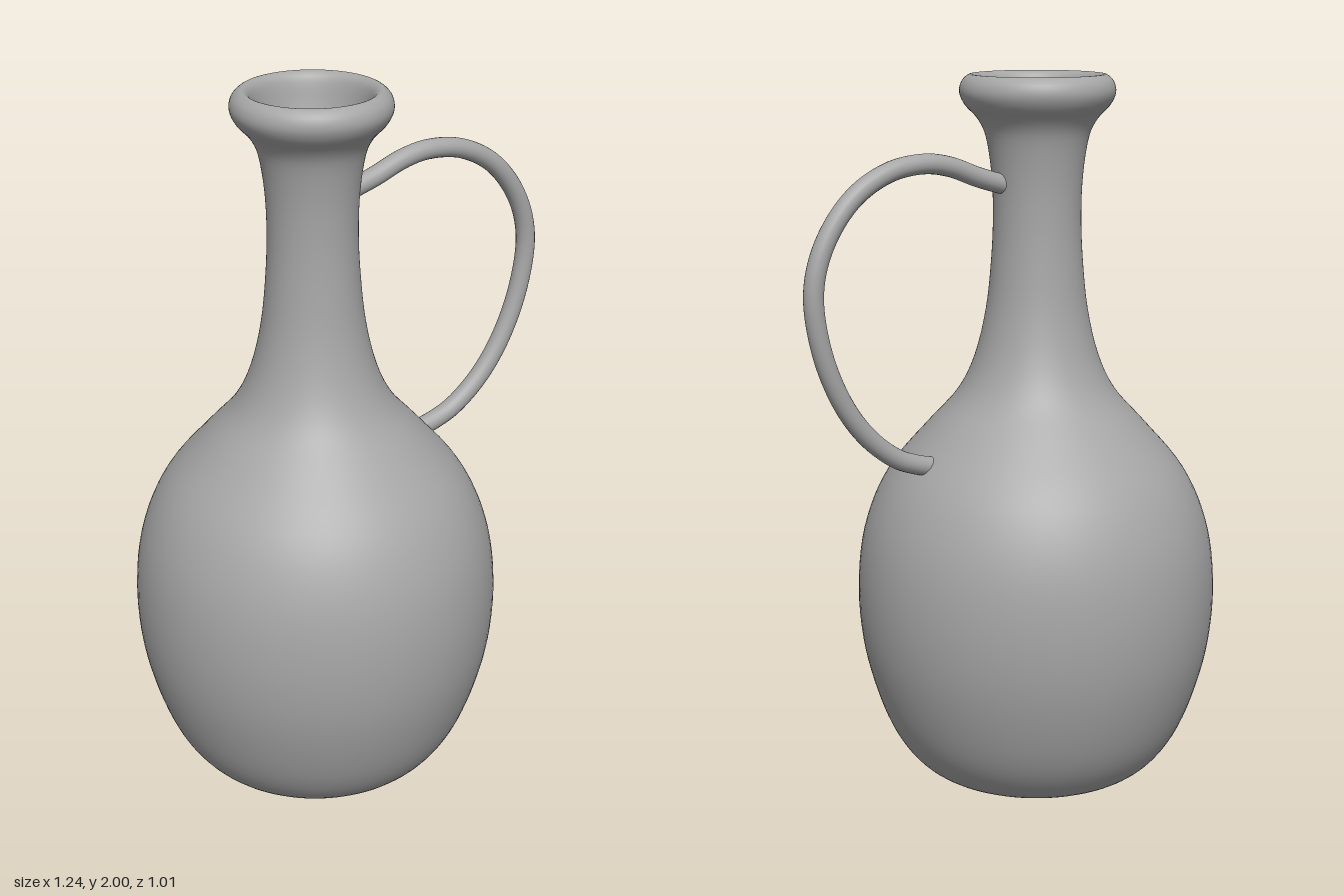
import * as THREE from 'three';

const AXIS_X = -0.115;

// Smooth list of lathe points through a few [radius, height] pairs
function smoothProfile(pairs, count) {
  const curve = new THREE.SplineCurve(pairs.map(([r, y]) => new THREE.Vector2(r, y)));
  return curve.getPoints(count);
}

export function createModel() {
  const model = new THREE.Group();
  model.name = 'jug';
  const clay = new THREE.MeshStandardMaterial({ color: 0xa6a6a6 });
  clay.name = 'grey clay';

  const add = (name, geometry, x = 0, y = 0) => {
    const mesh = new THREE.Mesh(geometry, clay);
    mesh.name = name;
    mesh.position.set(x, y, 0);
    model.add(mesh);
    return mesh;
  };

  // Outer wall, rolled rim and hollow inside in one continuous turn
  const profile = smoothProfile([
    [0, 0], [0.12, 0.001], [0.22, 0.007], [0.3, 0.032], [0.365, 0.085],
    [0.42, 0.17], [0.465, 0.29], [0.495, 0.42], [0.505, 0.56], [0.493, 0.7],
    [0.458, 0.82], [0.4, 0.925], [0.3, 1.04], [0.22, 1.13], [0.172, 1.23],
    [0.141, 1.36], [0.126, 1.5], [0.121, 1.62], [0.125, 1.73], [0.14, 1.83],
    [0.163, 1.88], [0.197, 1.917], [0.212, 1.95], [0.206, 1.98], [0.185, 1.999],
    [0.167, 1.993], [0.155, 1.97], [0.142, 1.91], [0.118, 1.82], [0.105, 1.72],
    [0.1, 1.6], [0.104, 1.5], [0.12, 1.36], [0.15, 1.23], [0.2, 1.11],
    [0.28, 1.02], [0.375, 0.91], [0.435, 0.8], [0.47, 0.68], [0.482, 0.56],
    [0.472, 0.42], [0.44, 0.28], [0.385, 0.15], [0.3, 0.075], [0.2, 0.04], [0, 0.03],
  ], 180);
  profile.forEach((p) => { p.x = Math.max(p.x, 0); p.y = THREE.MathUtils.clamp(p.y, 0, 2); });
  profile[0].x = profile[profile.length - 1].x = 0;
  add('body', new THREE.LatheGeometry(profile, 96), AXIS_X);

  // Looped handle from neck to shoulder
  const path = new THREE.CatmullRomCurve3([
    [0.004, 1.71], [0.08, 1.733], [0.17, 1.766], [0.25, 1.778], [0.36, 1.762],
    [0.47, 1.7], [0.555, 1.59], [0.59, 1.47], [0.572, 1.32], [0.515, 1.175],
    [0.44, 1.07], [0.35, 0.997], [0.285, 0.97], [0.225, 0.955],
  ].map(([x, y]) => new THREE.Vector3(x, y, 0)));
  const radius = 0.027;
  add('handle', new THREE.TubeGeometry(path, 96, radius, 20, false));

  // Rounded lower end and flat upper end of the handle
  const low = path.getPoint(1);
  add('handleLowerEnd', new THREE.SphereGeometry(radius, 20, 12), low.x, low.y);
  const top = path.getPoint(0);
  const cap = add('handleUpperEnd', new THREE.CircleGeometry(radius, 20), top.x, top.y);
  cap.quaternion.setFromUnitVectors(new THREE.Vector3(0, 0, 1), path.getTangent(0).negate());

  return model;
}
